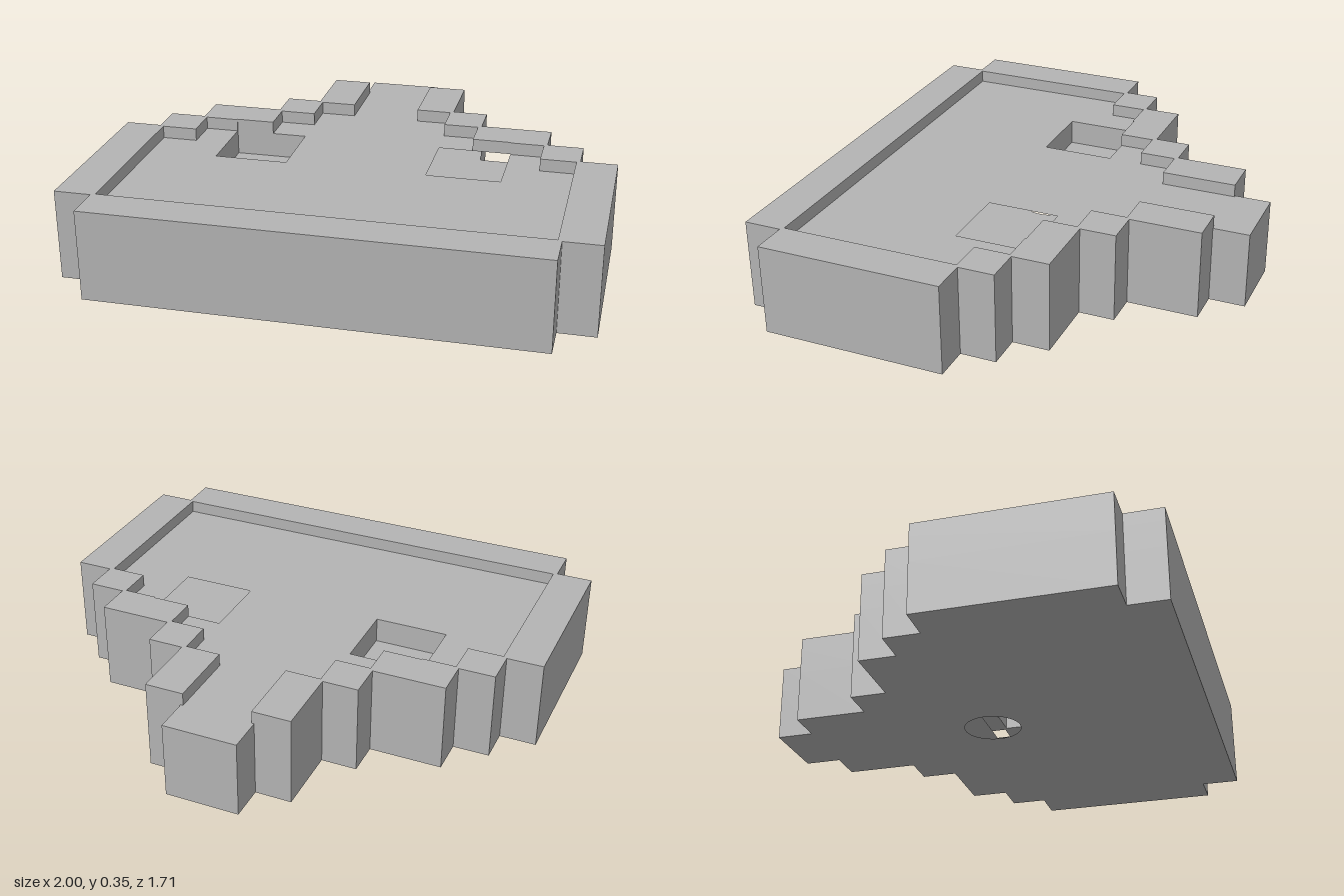
import * as THREE from 'three';
import { toCreasedNormals } from 'three/addons/utils/BufferGeometryUtils.js';

const POCKET_FLOOR = 0.205, FACE = 0.305, TOP = 0.355;

// Right half of the stepped outline as [x, z], back to front
const outer = [
  [0.147, -0.857], [0.147, -0.715], [0.29, -0.715], [0.29, -0.435], [0.43, -0.435],
  [0.43, -0.295], [0.715, -0.295], [0.715, -0.15], [0.857, -0.15], [0.857, -0.01],
  [1, -0.01], [1, 0.71], [0.857, 0.71], [0.857, 0.857],
];

// Right half of the rim's inner edge, back to front
const inner = [
  [0.137, -0.715], [0.137, -0.422], [0.277, -0.422], [0.277, -0.28], [0.417, -0.28],
  [0.417, -0.145], [0.57, -0.145], [0.57, -0.14], [0.702, -0.14], [0.702, 0],
  [0.842, 0], [0.842, 0.7],
];

const mirrored = (pts) => pts.map(([x, z]) => [-x, z]).reverse();
const toVec = (pts) => pts.map(([x, z]) => new THREE.Vector2(x, -z));
const loop = (half) => [...half, ...mirrored(half)];

// Extrude a plan shape upward between two heights
function layer(name, shape, y0, y1, material) {
  const geo = new THREE.ExtrudeGeometry(shape, { depth: y1 - y0, bevelEnabled: false, curveSegments: 32 });
  geo.rotateX(-Math.PI / 2);
  geo.translate(0, y0, 0);
  const mesh = new THREE.Mesh(toCreasedNormals(geo, 0.5), material);
  mesh.name = name;
  return mesh;
}

export function createModel() {
  const group = new THREE.Group();
  group.name = 'steppedPlaque';
  const grey = new THREE.MeshStandardMaterial({ color: 0xb4b4b4 });
  grey.name = 'grey';

  // Base with a round blind hole underneath
  const base = new THREE.Shape(toVec(loop(outer)));
  base.holes.push(new THREE.Path().absarc(0, 0, 0.112, 0, Math.PI * 2, true));
  group.add(layer('base', base, 0, POCKET_FLOOR, grey));

  // Face slab with two square pockets
  const face = new THREE.Shape(toVec(loop(outer)));
  for (const s of [-1, 1]) {
    const pocket = [[0.28, -0.145], [0.57, -0.145], [0.57, 0.14], [0.28, 0.14]];
    face.holes.push(new THREE.Path(toVec(pocket.map(([x, z]) => [s * x, z]))));
  }
  group.add(layer('face', face, POCKET_FLOOR, FACE, grey));

  // Raised rim, open at the back tip
  const rim = new THREE.Shape(toVec([...loop(outer.slice(1)), ...loop(inner).reverse()]));
  group.add(layer('rim', rim, FACE, TOP, grey));

  return group;
}
